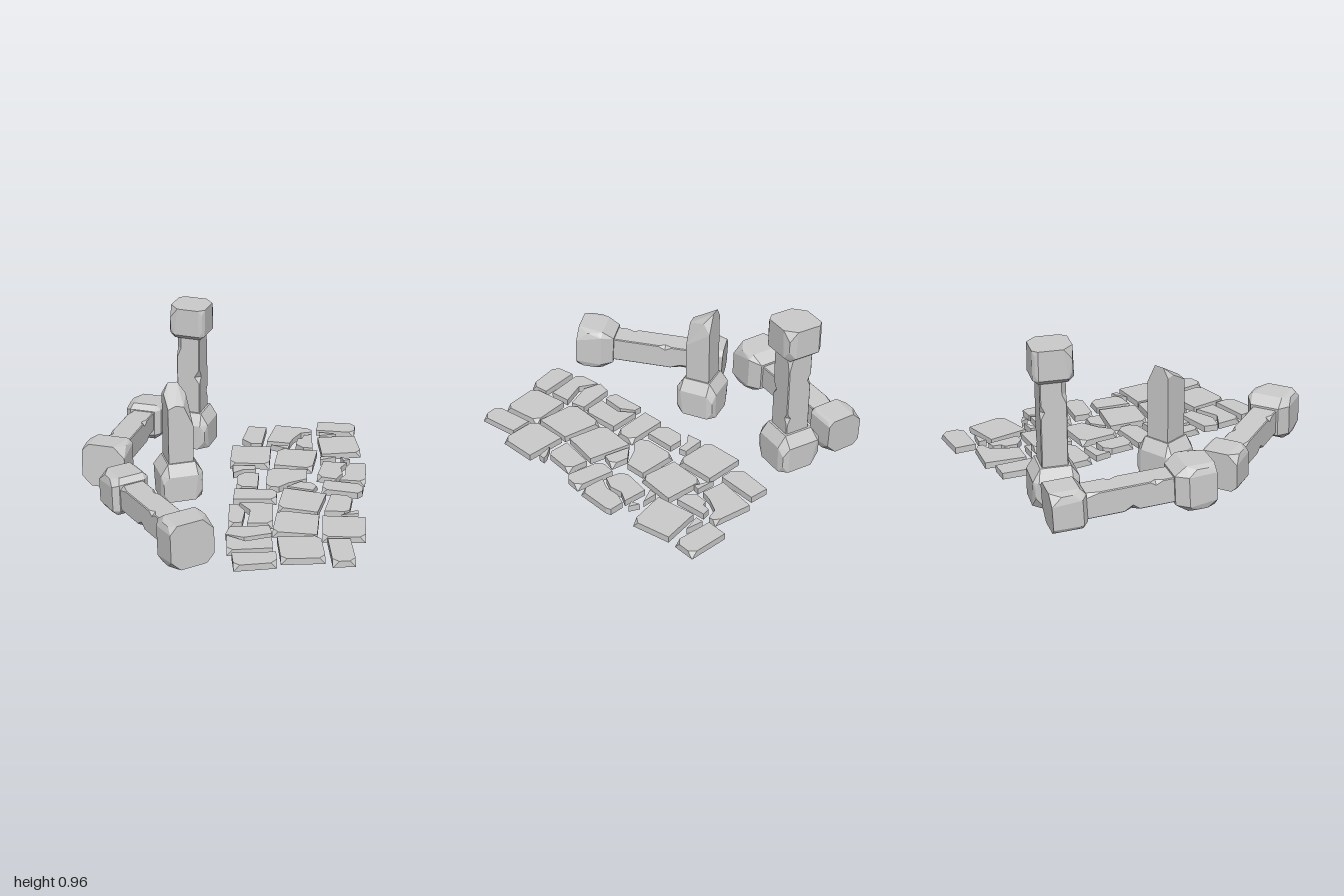
import * as THREE from 'three';
import { ConvexGeometry } from 'three/addons/geometries/ConvexGeometry.js';

const stone = new THREE.MeshStandardMaterial({ color: 0xcccccc, flatShading: true });

function addMesh(parent, name, geometry) {
  const mesh = new THREE.Mesh(geometry, stone);
  mesh.name = name;
  parent.add(mesh);
  return mesh;
}

function fromTriangles(triangles) {
  const geo = new THREE.BufferGeometry();
  geo.setAttribute('position', new THREE.Float32BufferAttribute(triangles.flat(2), 3));
  geo.computeVertexNormals();
  return geo;
}

// Block hulled from square rings {y, h: half width, chips: cut per corner, dir: inward y}
function chippedBlock(rings) {
  const pts = [];
  for (const { y, h, chips = [0, 0, 0, 0], dir = 0 } of rings) {
    [[1, 1], [1, -1], [-1, -1], [-1, 1]].forEach(([sx, sz], k) => {
      const c = chips[k];
      if (!c) { pts.push(new THREE.Vector3(sx * h, y, sz * h)); return; }
      pts.push(new THREE.Vector3(sx * (h - c), y, sz * h));
      pts.push(new THREE.Vector3(sx * h, y, sz * (h - c)));
      pts.push(new THREE.Vector3(sx * (h - 0.012), y + dir * c, sz * (h - 0.012)));
    });
  }
  return new ConvexGeometry(pts);
}

function baseBlock() {
  return chippedBlock([
    { y: 0, h: 0.137, chips: [0.06, 0.045, 0.07, 0.05], dir: 1 },
    { y: 0.165, h: 0.137, chips: [0.04, 0.05, 0.03, 0.045], dir: -1 },
    { y: 0.235, h: 0.09 },
  ]);
}

function headBlock() {
  return chippedBlock([
    { y: 0.745, h: 0.083 },
    { y: 0.775, h: 0.118, chips: [0.03, 0.05, 0.03, 0.04], dir: 1 },
    { y: 0.95, h: 0.118, chips: [0.035, 0.06, 0.03, 0.065], dir: -1 },
  ]);
}

// Square shaft lofted from rings; a wider bevel at one ring makes a nick in that edge
function nickedShaft() {
  const h = 0.077, s = 0.005;
  const rings = [
    [0.2, s, s, s, s], [0.3, s, s, s, s], [0.34, s, 0.025, s, s], [0.37, s, s, s, s],
    [0.44, s, s, s, s], [0.48, 0.035, s, s, s], [0.53, s, s, s, s],
    [0.57, s, s, 0.025, s], [0.61, s, s, s, s], [0.67, s, s, s, 0.03], [0.77, s, 0.03, s, 0.03],
  ].map(([y, ...bevels]) => bevels.flatMap((c, k) =>
    [[h - c, h], [h, h - c]].map(([x, z]) => {
      for (let i = 0; i < k; i++) [x, z] = [z, -x];
      return [x, y, z];
    })));
  const tris = [];
  for (let r = 0; r + 1 < rings.length; r++) {
    for (let i = 0; i < 8; i++) {
      const j = (i + 1) % 8, lo = rings[r], up = rings[r + 1];
      tris.push([lo[i], lo[j], up[j]], [lo[i], up[j], up[i]]);
    }
  }
  return fromTriangles(tris);
}

function column(name) {
  const g = new THREE.Group();
  g.name = name;
  addMesh(g, 'columnBase', baseBlock());
  addMesh(g, 'columnShaft', nickedShaft());
  addMesh(g, 'columnHead', headBlock());
  return g;
}

// Column lying from the middle of its base to the middle of its head end
function fallenColumn(name, from, to) {
  const g = column(name);
  const d = new THREE.Vector3(...to).sub(new THREE.Vector3(...from));
  g.position.set(...from);
  g.rotation.order = 'YXZ';
  g.rotation.y = Math.atan2(d.x, d.z);
  g.rotation.x = Math.PI / 2 - Math.atan2(d.y, Math.hypot(d.x, d.z));
  return g;
}

// Stump with a slanted, faceted break
function brokenColumn() {
  const g = new THREE.Group();
  g.name = 'brokenColumn';
  addMesh(g, 'columnBase', baseBlock()).scale.set(0.95, 1, 0.95);
  const h = 0.077;
  const pts = [
    [-h, 0.2, -h], [h, 0.2, -h], [h, 0.2, h], [-h, 0.2, h],
    [-0.04, 0.7, -h], [0.02, 0.7, -h], [-h, 0.64, -h], [h, 0.58, -h],
    [-h, 0.65, -0.03], [0.06, 0.64, -0.03], [-h, 0.59, h], [-0.03, 0.61, h],
    [0.02, 0.6, h], [h, 0.47, h],
  ].map((p) => new THREE.Vector3(...p));
  addMesh(g, 'brokenShaft', new ConvexGeometry(pts));
  return g;
}

// Flagstone from an [x, z] outline; the listed corners are chipped down from the top
function flagstone(outline, chipped = []) {
  const y0 = 0.005, y1 = 0.045, n = outline.length;
  const at = (i) => new THREE.Vector2(...outline[(i + n) % n]);
  const toward = (i, j) => {
    const a = at(i), b = at(j);
    return a.lerp(b, Math.min(0.035 / a.distanceTo(b), 0.4));
  };
  const bottom = outline.map((_, i) => at(i));
  const tops = outline.map((_, i) => chipped.includes(i) ? [toward(i, i - 1), toward(i, i + 1)] : [at(i)]);
  const lift = (p, y) => [p.x, y, p.y];
  const tris = [];
  const top = tops.flat();
  for (const [a, b, c] of THREE.ShapeUtils.triangulateShape(top, []))
    tris.push([a, c, b].map((i) => lift(top[i], y1)));
  for (const f of THREE.ShapeUtils.triangulateShape(bottom, []))
    tris.push(f.map((i) => lift(bottom[i], y0)));
  for (let i = 0; i < n; i++) {
    const j = (i + 1) % n;
    const b0 = lift(bottom[i], y0), b1 = lift(bottom[j], y0);
    const t0 = lift(tops[i].at(-1), y1), t1 = lift(tops[j][0], y1);
    tris.push([b0, t0, t1], [b0, t1, b1]);
    if (tops[i].length === 2) tris.push([b0, lift(tops[i][0], y1), t0]);
  }
  return fromTriangles(tris);
}

function paving() {
  const g = new THREE.Group();
  g.name = 'paving';
  const lay = (outline, chipped) => addMesh(g, 'flagstone', flagstone(outline, chipped));
  // Inner column of stones, back to front
  lay([[.10, -.90], [.22, -.89], [.20, -.64], [.13, -.64], [.07, -.70]]);
  lay([[.01, -.60], [.26, -.60], [.26, -.35], [.01, -.35]], [2, 3]);
  lay([[.03, -.31], [.17, -.32], [.18, -.27], [.10, -.26], [.04, -.21]]);
  lay([[.07, -.18], [.11, -.22], [.20, -.22], [.20, -.03], [.07, -.03]], [4]);
  lay([[.06, 0], [.32, -.01], [.32, .12], [.06, .14]], [1, 2]);
  lay([[.04, .20], [.09, .20], [.14, .28], [.13, .42], [.05, .44]], [4]);
  lay([[.10, .18], [.30, .17], [.31, .42], [.16, .43], [.17, .27]], [2]);
  lay([[.06, .48], [.29, .45], [.31, .54], [.15, .60], [.04, .57]]);
  lay([[.05, .58], [.16, .64], [.31, .58], [.32, .71], [.06, .75]], [4]);
  lay([[.09, .78], [.34, .75], [.35, .87], [.11, .92]], [2, 3]);
  // Middle column
  lay([[.28, -.93], [.52, -.89], [.52, -.84], [.45, -.82], [.40, -.73], [.38, -.66], [.23, -.68]], [1]);
  lay([[.52, -.80], [.53, -.60], [.47, -.60], [.42, -.65], [.43, -.73], [.46, -.74], [.47, -.79]]);
  lay([[.26, -.63], [.38, -.62], [.37, -.58]]);
  lay([[.31, -.58], [.56, -.56], [.53, -.31], [.29, -.34]], [0, 2]);
  lay([[.25, -.29], [.50, -.29], [.50, -.16], [.39, -.10], [.33, -.04], [.25, -.04]], [0, 5]);
  lay([[.38, -.05], [.46, -.12], [.57, -.10], [.54, -.01]], [2]);
  lay([[.36, -.03], [.62, .03], [.57, .27], [.33, .22]], [3]);
  lay([[.33, .26], [.58, .30], [.57, .54], [.31, .52]], [0, 3]);
  lay([[.34, .58], [.59, .55], [.62, .80], [.37, .83]], [1, 2, 3]);
  // Outer column
  lay([[.56, -1], [.81, -.99], [.80, -.85], [.55, -.87]], [1, 2]);
  lay([[.57, -.84], [.68, -.82], [.57, -.79]]);
  lay([[.56, -.76], [.80, -.80], [.84, -.56], [.59, -.51]], [2]);
  lay([[.58, -.48], [.68, -.48], [.58, -.43]]);
  lay([[.71, -.48], [.77, -.45], [.73, -.43]]);
  lay([[.60, -.41], [.75, -.40], [.71, -.33], [.72, -.25], [.68, -.17], [.56, -.20]], [5]);
  lay([[.77, -.40], [.86, -.40], [.87, -.37], [.86, -.15], [.70, -.16], [.74, -.24], [.74, -.33]], [3]);
  lay([[.61, -.15], [.85, -.11], [.84, -.02], [.81, .01], [.59, -.03]], [1, 4]);
  lay([[.65, .03], [.78, .05], [.76, .23], [.73, .25], [.61, .25]], [1]);
  lay([[.81, .23], [.81, .27], [.71, .29], [.78, .24]]);
  lay([[.60, .31], [.85, .31], [.85, .55], [.60, .56]], [2, 3]);
  lay([[.63, .58], [.76, .57], [.79, .82], [.66, .84]], [2, 3]);
  return g;
}

export function createModel() {
  const model = new THREE.Group();
  model.name = 'ruinedColumns';

  const standing = column('standingColumn');
  standing.position.set(-0.26, 0.01, -0.75);
  standing.rotation.y = THREE.MathUtils.degToRad(-15);

  const broken = brokenColumn();
  broken.position.set(-0.285, 0.005, -0.015);
  broken.rotation.y = THREE.MathUtils.degToRad(20);

  model.add(
    standing,
    broken,
    fallenColumn('fallenColumnBack', [-0.745, 0.165, -0.005], [-0.55, 0.122, -0.93]),
    fallenColumn('fallenColumnFront', [-0.116, 0.165, 0.915], [-0.64, 0.122, 0.127]),
    paving(),
  );
  return model;
}
